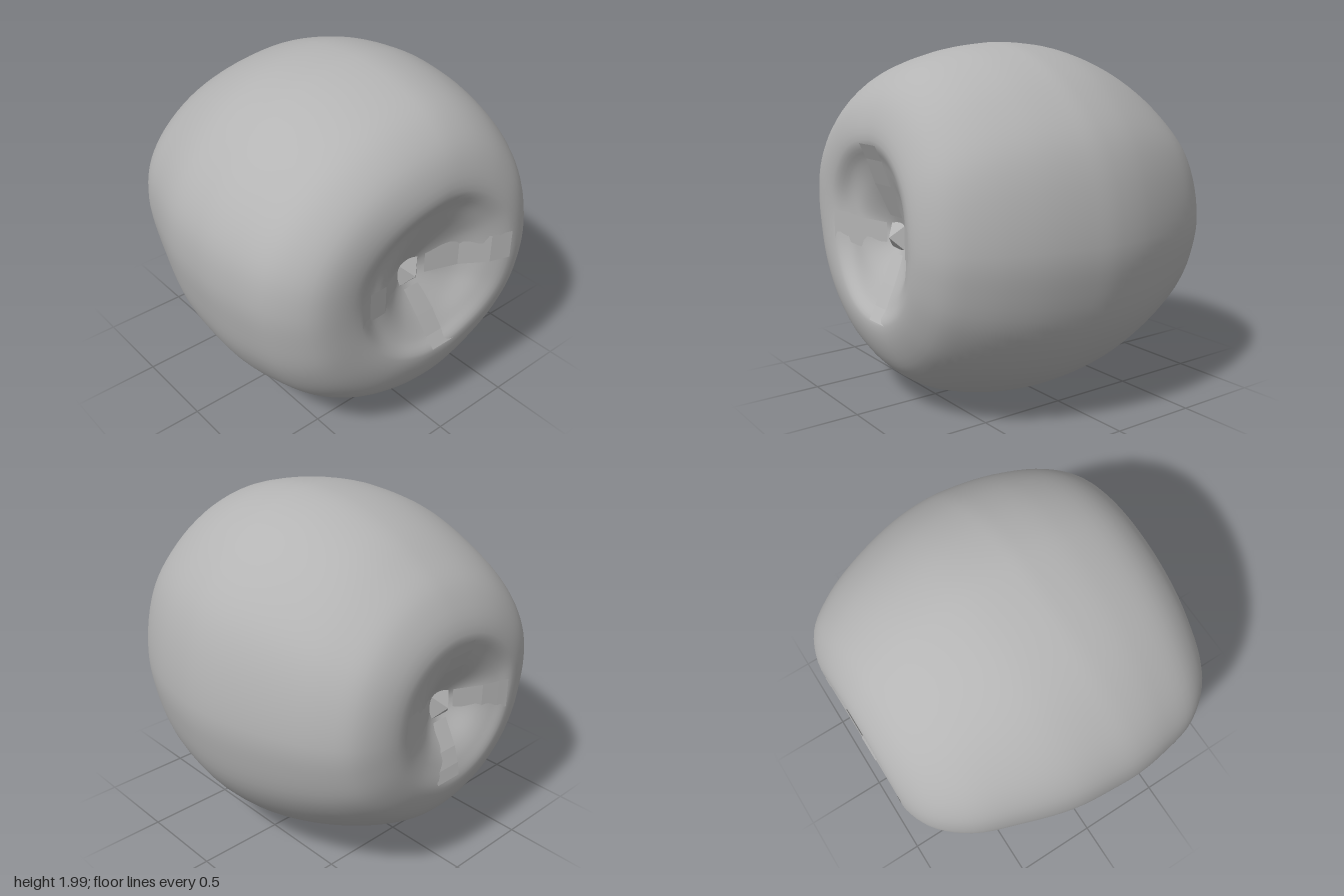
import * as THREE from 'three';

const gray = new THREE.MeshStandardMaterial({ color: 0xb4b4b4 });
gray.name = 'plain gray';
const facetGray = gray.clone();
facetGray.flatShading = true;
facetGray.side = THREE.DoubleSide;

// Widest outline around the z axis, measured from the height of the core
const outline = new THREE.CatmullRomCurve3([
  [1, 0], [0.95, 0.32], [0.85, 0.55], [0.65, 0.77], [0.45, 0.9], [0.25, 0.97], [0.05, 0.99],
  [-0.3, 0.93], [-0.6, 0.785], [-0.85, 0.55], [-0.97, 0.33], [-1, 0.1], [-0.975, -0.12],
  [-0.91, -0.37], [-0.76, -0.62], [-0.5, -0.845], [-0.2, -0.965], [0.05, -0.995], [0.25, -0.97],
  [0.5, -0.86], [0.72, -0.7], [0.9, -0.46], [0.98, -0.2],
].map(([x, y]) => new THREE.Vector3(x, y, 0)), true, 'centripetal');

// Front-to-back profile on one side: fraction of the outline, and z
function profile(points) {
  const lip = points[0][1];
  const front = [[0, 0.66], [0.13, 0.72], [0.27, 0.79], [0.4, lip - 0.05]];
  const back = [[0.33, -0.92], [0.24, -0.88], [0.12, -0.8], [0, -0.74]];
  return new THREE.CatmullRomCurve3(
    [...front, ...points, ...back].map(([f, z]) => new THREE.Vector3(f, 0, z)));
}
const sides = {
  left: profile([[0.53, 0.95], [0.7, 0.88], [0.82, 0.72], [0.93, 0.45], [0.99, 0.15], [1, 0],
    [0.98, -0.2], [0.9, -0.5], [0.8, -0.73], [0.68, -0.88], [0.48, -0.95]]),
  top: profile([[0.5, 0.9], [0.7, 0.84], [0.86, 0.68], [0.96, 0.42], [0.995, 0.2], [1, 0.08],
    [0.97, -0.2], [0.88, -0.47], [0.77, -0.66], [0.63, -0.83], [0.43, -0.94]]),
  right: profile([[0.52, 0.855], [0.76, 0.82], [0.92, 0.65], [0.98, 0.42], [1, 0.25], [0.995, 0.1],
    [0.97, -0.15], [0.88, -0.45], [0.78, -0.7], [0.62, -0.88], [0.43, -0.95]]),
  bottom: profile([[0.5, 0.9], [0.73, 0.82], [0.87, 0.66], [0.95, 0.45], [0.99, 0.25], [1, 0.05],
    [0.96, -0.25], [0.85, -0.55], [0.7, -0.8], [0.6, -0.89], [0.45, -0.945]]),
};

// Point on the skin: s runs front core to back core, t runs around
function skinPoint(s, t) {
  const p = outline.getPoint(t);
  const wx = p.x * p.x / (p.x * p.x + p.y * p.y);
  const q = (p.x > 0 ? sides.left : sides.right).getPoint(s)
    .lerp((p.y > 0 ? sides.top : sides.bottom).getPoint(s), 1 - wx);
  const sink = Math.max(0, 1 - q.x / 0.5);
  return [p.x * q.x - 0.03 * sink, 1 + p.y * q.x - 0.05 * sink, q.z];
}

// Grid of points joined into quads, closed around when wrapped
function grid(rings, across, wrap, pointAt) {
  const pos = [], index = [];
  for (let i = 0; i <= rings; i++) {
    for (let j = 0; j < across; j++) pos.push(...pointAt(i, j));
  }
  for (let i = 0; i < rings; i++) {
    for (let j = 0; j < (wrap ? across : across - 1); j++) {
      const k = (j + 1) % across;
      const a = i * across + j, b = a + across, c = i * across + k, d = c + across;
      index.push(a, b, c, b, d, c);
    }
  }
  const geo = new THREE.BufferGeometry();
  geo.setAttribute('position', new THREE.Float32BufferAttribute(pos, 3));
  geo.setIndex(index);
  geo.computeVertexNormals();
  return geo;
}

// Straight-sided strip lying on a hollow wall, from the core to the lip
function strip(stations, t, dir) {
  const angle = t * Math.PI * 2;
  return grid(stations.length - 1, 2, false, (i, j) => {
    const [x, y, z] = skinPoint(stations[i] / 18, t);
    const offset = (j ? 0.085 : -0.085) + 0.03;
    return [x - Math.sin(angle) * offset, y + Math.cos(angle) * offset, z + dir * 0.008];
  });
}

export function createModel() {
  const group = new THREE.Group();
  const add = (name, geo, mat) => {
    const mesh = new THREE.Mesh(geo, mat);
    mesh.name = name;
    group.add(mesh);
    return mesh;
  };

  // Rounded fruit body with a shallow hollow at each end
  add('body', grid(90, 96, true, (i, j) => skinPoint(i / 90, j / 96)), gray);

  // Pinwheel of flat strips and a four-sided stub in each hollow
  const ends = [
    { name: 'front', dir: 1, stub: 0.71, stations: [0.8, 2, 3, 3.8] },
    { name: 'back', dir: -1, stub: -0.79, stations: [17.2, 16, 15, 14.4] },
  ];
  for (const { name, dir, stub, stations } of ends) {
    for (let k = 0; k < 4; k++) add(name + 'HollowStrip', strip(stations, k / 4, dir), facetGray);
    const geo = new THREE.ConeGeometry(0.16, 0.1, 4);
    geo.rotateY(Math.PI / 4);
    geo.rotateX(dir * Math.PI / 2);
    add(name + 'Stub', geo, facetGray).position.set(-0.03, 0.95, stub);
  }
  return group;
}
